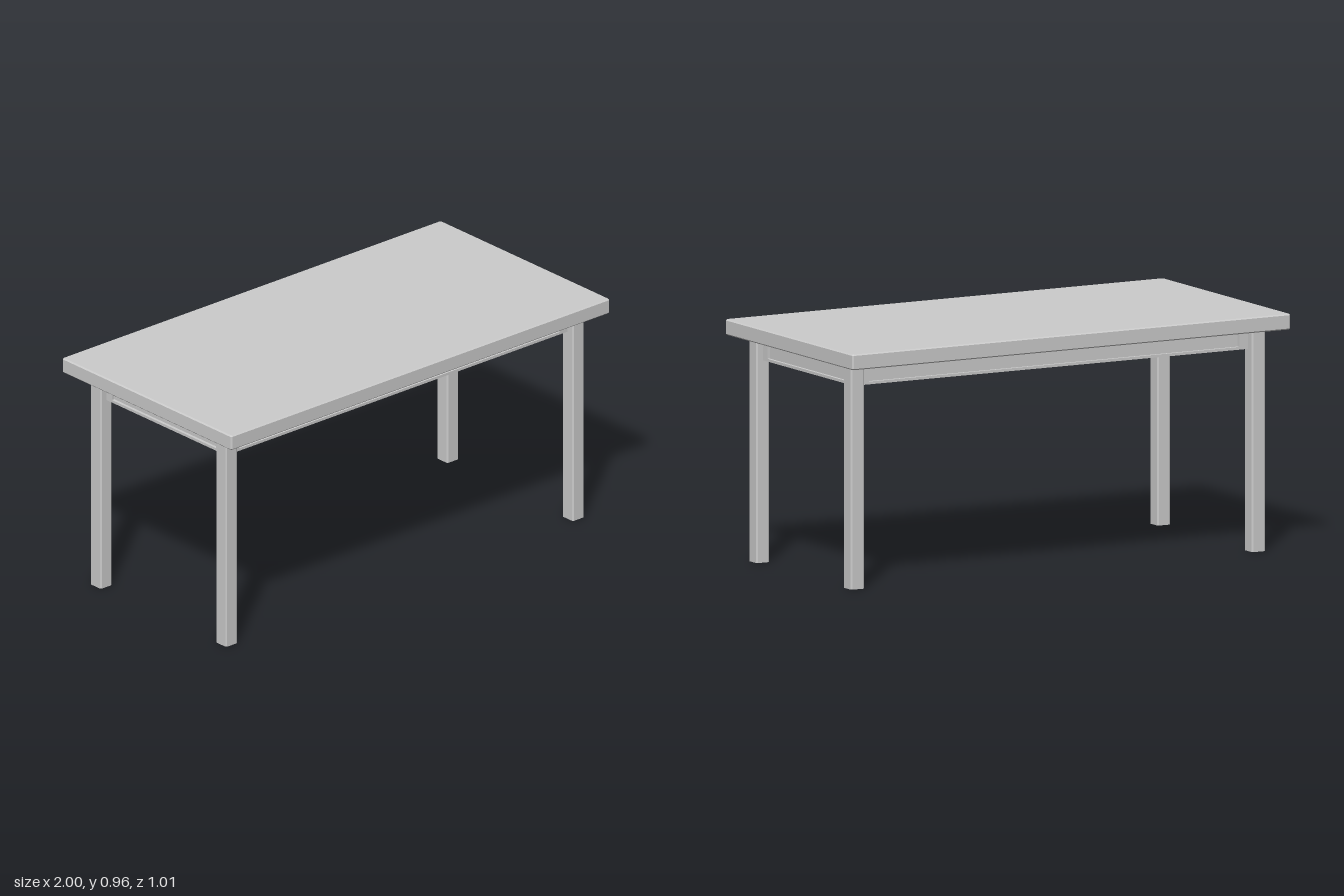
import * as THREE from 'three';

const material = new THREE.MeshStandardMaterial({ color: 0xcccccc, flatShading: true });

function add(parent, name, geometry, x, y, z) {
  const mesh = new THREE.Mesh(geometry, material);
  mesh.name = name;
  mesh.position.set(x, y, z);
  parent.add(mesh);
  return mesh;
}

// Rectangle with its four corners cut off
function chamferedRect(w, d, c) {
  const x = w / 2, y = d / 2;
  return new THREE.Shape([
    [-x + c, -y], [x - c, -y], [x, -y + c], [x, y - c],
    [x - c, y], [-x + c, y], [-x, y - c], [-x, -y + c],
  ].map(([a, b]) => new THREE.Vector2(a, b)));
}

// Flat rail with a rectangular window that frames a recessed panel
function railGeometry(length, height, insetX, insetY, depth) {
  const x = length / 2, y = height / 2, a = x - insetX, b = y - insetY;
  const shape = new THREE.Shape([
    new THREE.Vector2(-x, -y), new THREE.Vector2(x, -y),
    new THREE.Vector2(x, y), new THREE.Vector2(-x, y),
  ]);
  shape.holes.push(new THREE.Path([
    new THREE.Vector2(-a, -b), new THREE.Vector2(-a, b),
    new THREE.Vector2(a, b), new THREE.Vector2(a, -b),
  ]));
  return new THREE.ExtrudeGeometry(shape, { depth, bevelEnabled: false });
}

export function createModel() {
  const table = new THREE.Group();
  table.name = 'table';

  // Table top with narrow bevels on every edge
  const bevel = 0.005;
  const top = new THREE.ExtrudeGeometry(chamferedRect(2 - 2 * bevel, 1.01 - 2 * bevel, 0.003), {
    depth: 0.063 - 2 * bevel, bevelSize: bevel, bevelThickness: bevel, bevelSegments: 1,
  });
  top.rotateX(-Math.PI / 2);
  add(table, 'tableTop', top, 0, 0.898 + bevel, 0);

  // Four chamfered legs
  const legHeight = 0.893, zMid = 0.0075, legX = 0.915, legZ = 0.374;
  const leg = new THREE.ExtrudeGeometry(chamferedRect(0.06, 0.063, 0.005), {
    depth: legHeight, bevelEnabled: false,
  });
  leg.rotateX(-Math.PI / 2);
  for (const sx of [-1, 1]) {
    for (const sz of [-1, 1]) {
      const name = (sz > 0 ? 'front' : 'back') + (sx > 0 ? 'Left' : 'Right') + 'Leg';
      add(table, name, leg, sx * legX, 0, zMid + sz * legZ);
    }
  }

  // Solid body between the legs; its sides are the recessed panels
  const low = 0.81, height = legHeight - low, mid = low + height / 2, recess = 0.012;
  const outX = 0.915, outZ = 0.372;
  add(table, 'underframe',
    new THREE.BoxGeometry(2 * (outX - recess), height, 2 * (outZ - recess)), 0, mid, zMid);

  // Rails framing the panels on all four sides
  const apron = new THREE.Group();
  apron.name = 'apron';
  table.add(apron);
  const longRail = railGeometry(2 * outX, height, outX - 0.845, 0.011, recess);
  const shortRail = railGeometry(2 * outZ, height, outZ - 0.31, 0.011, recess);
  for (const s of [1, -1]) {
    const long = add(apron, s > 0 ? 'frontRail' : 'backRail', longRail,
      0, mid, zMid + s * (outZ - recess));
    long.rotation.y = s > 0 ? 0 : Math.PI;
    const short = add(apron, s > 0 ? 'leftRail' : 'rightRail', shortRail,
      s * (outX - recess), mid, zMid);
    short.rotation.y = s * Math.PI / 2;
  }
  return table;
}
